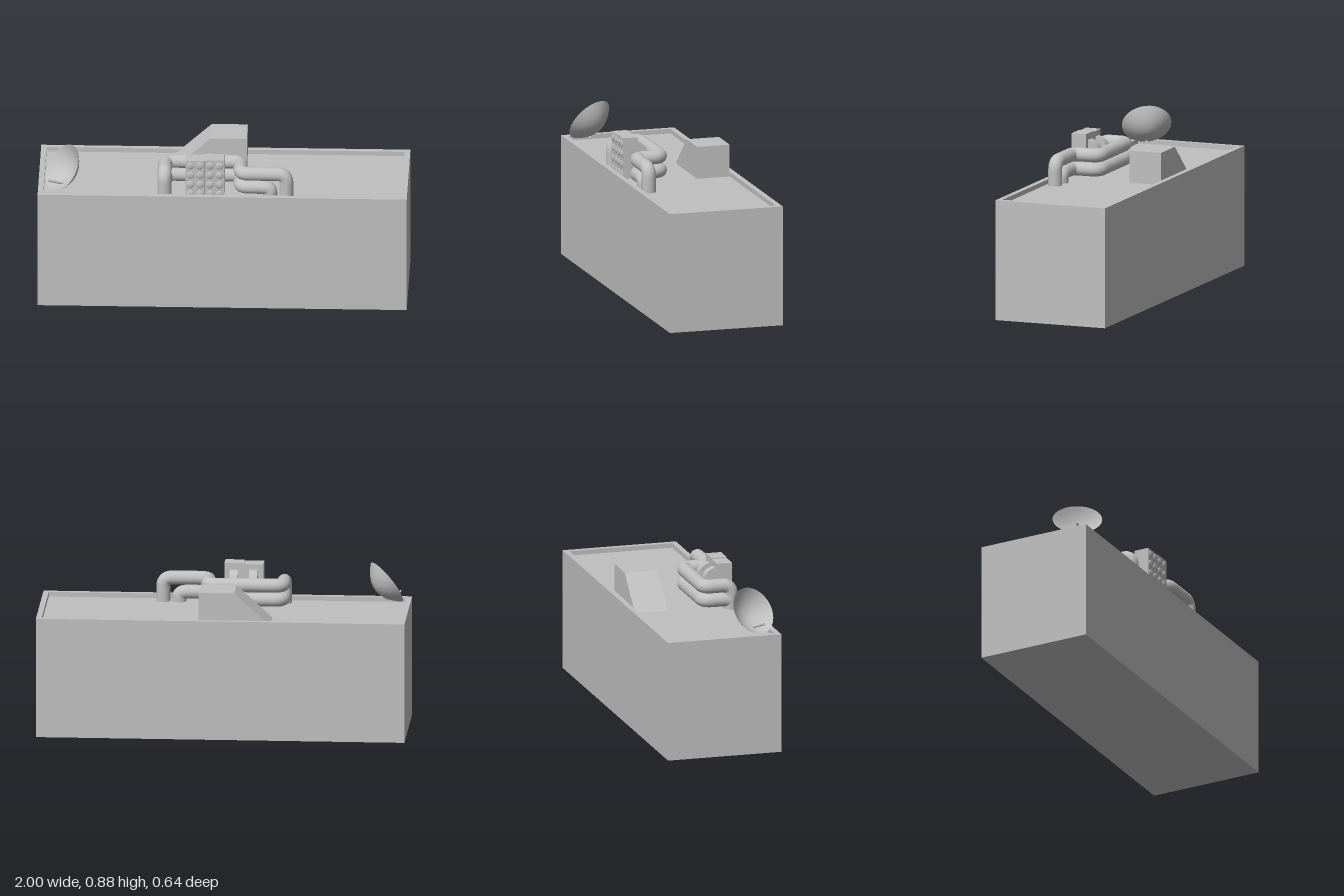
import * as THREE from 'three';

const FLOOR = 0.635, TOP = 0.66;

export function createModel() {
  const model = new THREE.Group();
  model.name = 'rooftopBuilding';
  const grey = new THREE.MeshStandardMaterial({ color: 0xc0c0c0, side: THREE.DoubleSide });
  grey.name = 'concreteGrey';

  const add = (name, geometry, x = 0, y = 0, z = 0) => {
    const mesh = new THREE.Mesh(geometry, grey);
    mesh.name = name;
    mesh.position.set(x, y, z);
    model.add(mesh);
    return mesh;
  };
  const rect = (Type, w, d) => {
    const s = new Type();
    s.moveTo(-w, -d).lineTo(w, -d).lineTo(w, d).lineTo(-w, d).closePath();
    return s;
  };

  // Building block and the low parapet around its roof
  add('building', new THREE.BoxGeometry(2, FLOOR, 0.64), 0, FLOOR / 2, 0);
  const ring = rect(THREE.Shape, 1, 0.32);
  ring.holes.push(rect(THREE.Path, 0.97, 0.29));
  const parapet = new THREE.ExtrudeGeometry(ring, { depth: TOP - FLOOR, bevelEnabled: false });
  add('parapet', parapet.rotateX(-Math.PI / 2), 0, FLOOR, 0);

  // Roof access hut with a sloping side
  const hut = new THREE.Shape();
  hut.moveTo(-0.27, FLOOR).lineTo(0.12, FLOOR).lineTo(0.12, 0.812).lineTo(-0.075, 0.812).closePath();
  add('roofHut', new THREE.ExtrudeGeometry(hut, { depth: 0.185, bevelEnabled: false }), 0, 0, -0.29);

  // Pipes: straight runs joined by rounded elbows
  const pipe = (name, y, endX) => {
    const pts = [
      [-0.315, FLOOR, 0.238], [-0.315, y, 0.238], [-0.315, y, 0.086], [0.095, y, 0.086],
      [0.095, y, 0.238], [endX, y, 0.238], [endX, FLOOR, 0.238],
    ].map((p) => new THREE.Vector3(...p));
    const path = new THREE.CurvePath();
    let from = pts[0];
    for (let i = 1; i < pts.length - 1; i++) {
      const toward = (q) => {
        const v = q.clone().sub(pts[i]);
        return pts[i].clone().addScaledVector(v.clone().normalize(), Math.min(0.05, v.length() * 0.48));
      };
      const a = toward(pts[i - 1]), b = toward(pts[i + 1]);
      path.add(new THREE.LineCurve3(from, a));
      path.add(new THREE.QuadraticBezierCurve3(a, pts[i], b));
      from = b;
    }
    path.add(new THREE.LineCurve3(from, pts[pts.length - 1]));
    add(name, new THREE.TubeGeometry(path, 160, 0.038, 20));
  };
  pipe('upperPipe', 0.765, 0.345);
  pipe('lowerPipe', 0.687, 0.258);

  // Twin cabinets with a rounded drum behind each and studs on the front
  [[-0.148, 0.856], [-0.042, 0.861]].forEach(([x, top]) => {
    add('cabinet', new THREE.BoxGeometry(0.105, top - FLOOR, 0.085), x, (top + FLOOR) / 2, 0.2375);
    const drum = new THREE.CylinderGeometry(0.07, 0.07, 0.045, 28).rotateZ(Math.PI / 2);
    add('drum', drum, x, 0.756, 0.2);
    for (const dx of [-0.026, 0.026]) {
      for (let row = 0; row < 4; row++) {
        const stud = new THREE.SphereGeometry(0.021, 16, 10).scale(1, 1, 0.3);
        add('stud', stud, x + dx, 0.827 - row * 0.056, 0.28);
      }
    }
  });

  // Dish: shallow bowl tilted up and out over the corner
  const R = 0.135, depth = 0.076;
  const profile = [];
  for (let i = 0; i <= 10; i++) {
    const r = (R * i) / 10;
    profile.push(new THREE.Vector2(r, depth * ((r / R) ** 2 - 1)));
  }
  const dish = add('dish', new THREE.LatheGeometry(profile, 32), -0.87, 0.767, 0.2);
  const axis = new THREE.Vector3(-0.73, 0.545, 0.4).normalize();
  dish.quaternion.setFromUnitVectors(new THREE.Vector3(0, 1, 0), axis);

  // Feed rod standing on the inside of the dish
  const a = new THREE.Vector3(-0.945, 0.709, 0.24), b = new THREE.Vector3(-0.862, 0.672, 0.198);
  add('dishFeed', new THREE.TubeGeometry(new THREE.LineCurve3(b, a), 1, 0.006, 10));
  const tip = add('dishFeedTip', new THREE.CircleGeometry(0.006, 10), a.x, a.y, a.z);
  tip.quaternion.setFromUnitVectors(new THREE.Vector3(0, 0, 1), a.clone().sub(b).normalize());

  return model;
}
